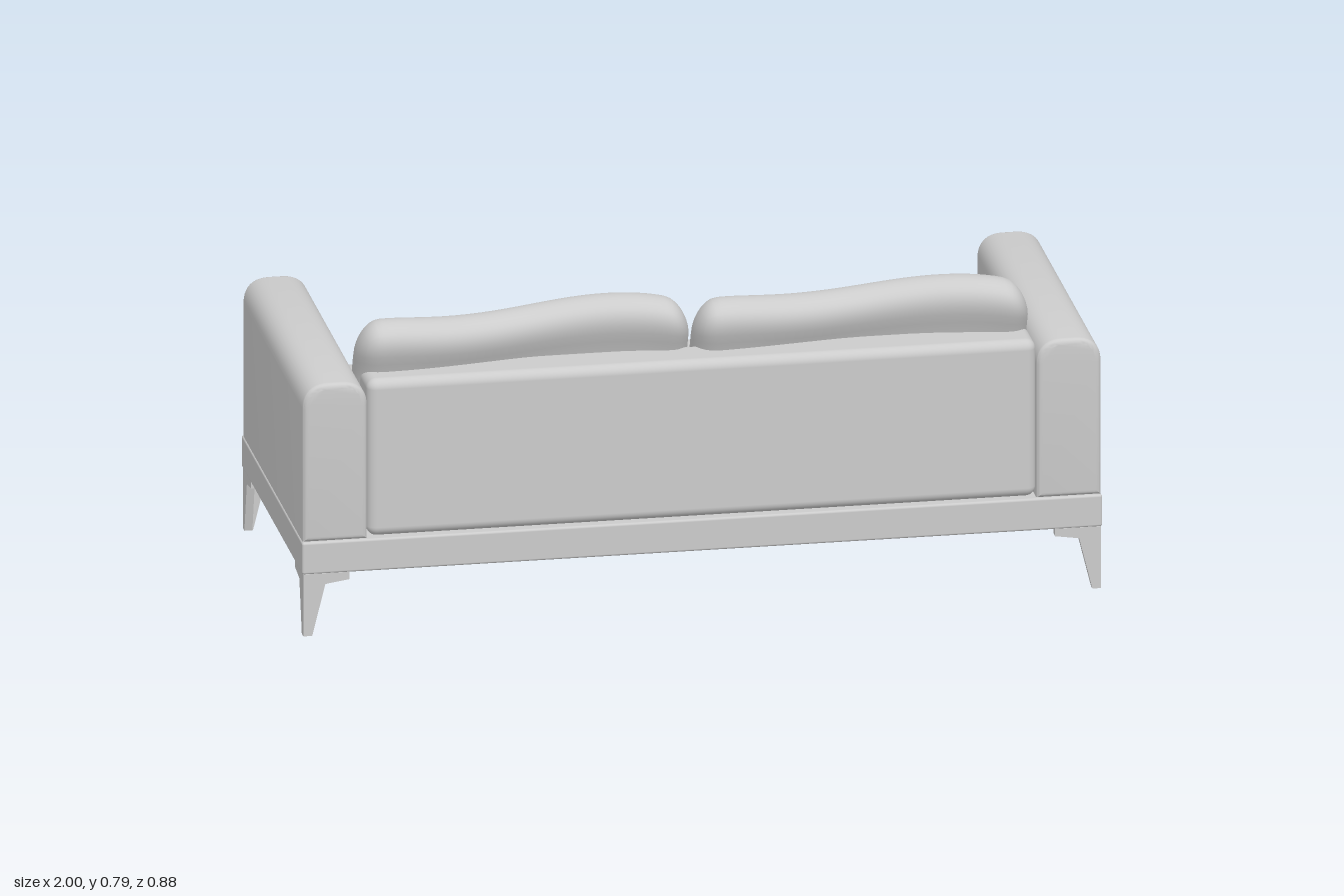
import * as THREE from 'three';
import { mergeVertices, toCreasedNormals } from 'three/addons/utils/BufferGeometryUtils.js';
import { RoundedBoxGeometry } from 'three/addons/geometries/RoundedBoxGeometry.js';

const material = new THREE.MeshStandardMaterial({ color: 0xcccccc, roughness: 0.8 });

function addMesh(parent, name, geometry, x = 0, y = 0, z = 0) {
  const mesh = new THREE.Mesh(geometry, material);
  mesh.name = name;
  mesh.position.set(x, y, z);
  parent.add(mesh);
  return mesh;
}

// Soft block: a grid box with elliptical rounded edges, then bent by a rule.
function cushionGeometry(size, radii, bend) {
  const geo = new THREE.BoxGeometry(2, 2, 2, 40, 24, 32);
  geo.deleteAttribute('uv');
  geo.deleteAttribute('normal');
  const pos = geo.attributes.position;
  const p = new THREE.Vector3();
  for (let i = 0; i < pos.count; i++) {
    p.fromBufferAttribute(pos, i);
    const core = [], off = [];
    ['x', 'y', 'z'].forEach((axis, k) => {
      const v = Math.sin(p[axis] * Math.PI / 2) * size[k] / 2;
      const limit = size[k] / 2 - radii[k];
      core[k] = THREE.MathUtils.clamp(v, -limit, limit);
      off[k] = (v - core[k]) / radii[k];
    });
    const length = Math.hypot(...off) || 1;
    const [x, y, z] = core.map((c, k) => c + radii[k] * off[k] / length);
    p.set(x, y, z);
    bend(p, x / (size[0] / 2), y / (size[1] / 2), z / (size[2] / 2));
    pos.setXYZ(i, p.x, p.y, p.z);
  }
  const merged = mergeVertices(geo, 1e-5);
  merged.computeVertexNormals();
  return merged;
}

// Arm: round-topped section extruded front to back with a small bevel.
function armGeometry() {
  const bevel = 0.014, w = 0.0805 - bevel, h = 0.41 - bevel, r = 0.05, depth = 0.825 - 2 * bevel;
  const s = new THREE.Shape();
  s.moveTo(-w, bevel);
  s.lineTo(w, bevel);
  s.lineTo(w, h - r);
  s.quadraticCurveTo(w, h, w - r, h);
  s.lineTo(-w + r, h);
  s.quadraticCurveTo(-w, h, -w, h - r);
  s.closePath();
  const geo = new THREE.ExtrudeGeometry(s, {
    depth, bevelThickness: bevel, bevelSize: bevel, bevelSegments: 4, curveSegments: 10,
  });
  geo.translate(0, 0, -depth / 2);
  return toCreasedNormals(geo, 0.6);
}

// One bracket-shaped plate of a corner leg.
function legPlateGeometry() {
  const outline = [[0, 0], [0.022, 0], [0.055, 0.133], [0.115, 0.142], [0.115, 0.161], [0, 0.161]];
  const s = new THREE.Shape(outline.map(([x, y]) => new THREE.Vector2(x, y)));
  return new THREE.ExtrudeGeometry(s, { depth: 0.02, bevelEnabled: false });
}

export function createModel() {
  const model = new THREE.Group();
  model.name = 'sofa';
  const midZ = 0.0275;

  // Frame
  addMesh(model, 'base', new RoundedBoxGeometry(2, 0.083, 0.825, 3, 0.006), 0, 0.2015, midZ);
  addMesh(model, 'backPanel', new RoundedBoxGeometry(1.672, 0.408, 0.13, 5, 0.025), 0, 0.45, 0.374);
  const arm = armGeometry();
  addMesh(model, 'rightArm', arm, -0.917, 0.243, midZ);
  addMesh(model, 'leftArm', arm, 0.917, 0.243, midZ);

  // Corner legs, each made of two plates meeting at a right angle
  const plateA = legPlateGeometry();
  const plateB = plateA.clone().rotateY(-Math.PI / 2).translate(0.02, 0, 0);
  const corners = [
    ['frontRightLeg', -1, -0.384, 0], ['backRightLeg', -1, 0.439, Math.PI / 2],
    ['backLeftLeg', 1, 0.439, Math.PI], ['frontLeftLeg', 1, -0.384, -Math.PI / 2],
  ];
  for (const [name, side, z, turn] of corners) {
    const leg = new THREE.Group();
    leg.name = name;
    leg.position.set(side * 0.997, 0, z);
    leg.rotation.y = turn;
    addMesh(leg, 'legPlate', plateA);
    addMesh(leg, 'legPlate', plateB);
    model.add(leg);
  }

  for (const side of [-1, 1]) {
    const label = side < 0 ? 'right' : 'left';

    // Seat cushion: crowned top rising toward the back, faint wrinkles
    const seatWidth = side < 0 ? 0.805 : 0.845;
    const seat = cushionGeometry([seatWidth, 0.17, 0.73], [0.045, 0.08, 0.06], (p, u, v, w) => {
      const top = THREE.MathUtils.smoothstep(v, -0.2, 1);
      const crown = (1 - u * u) * (1 - w * w);
      p.y += top * (0.02 * crown + 0.014 * (w + 1) - 0.006 * u * side);
      p.y += top * 0.004 * Math.sin(5 * u + 2 * side) * Math.sin(6 * w + u * 3);
      if (w < 0) p.z += side > 0 ? 0.006 + 0.008 * w * w * (1 - u * u) : 0.02 * w * w * u ** 6;
    });
    addMesh(model, label + 'SeatCushion', seat, side < 0 ? -0.425 : 0.406, 0.325, -0.077);

    // Back cushion: wavy top edge, bowed forward, top flopping over the back
    const back = cushionGeometry([0.838, 0.41, 0.155], [0.06, 0.09, 0.077], (p, u, v, w) => {
      const top = THREE.MathUtils.smoothstep(v, -0.2, 1);
      p.y += top * (0.013 * Math.cos(Math.PI * (u - 0.6) / 0.9) - 0.02 * u ** 8);
      p.z += 0.055 * THREE.MathUtils.smoothstep(v, 0.1, 1);
      p.z -= 0.022 * Math.cos(Math.PI * (u - (side < 0 ? 0.25 : 0.1)) * 0.9);
      if (side < 0) p.z -= 0.008 * u;
      if (w < 0) p.z += w * (0.016 * (1 - u * u) * (1 - v * v) + 0.004 * Math.sin(6 * u + 4 * v));
    });
    addMesh(model, label + 'BackCushion', back, side < 0 ? -0.428 : 0.417, 0.573, 0.258);
  }

  return model;
}
